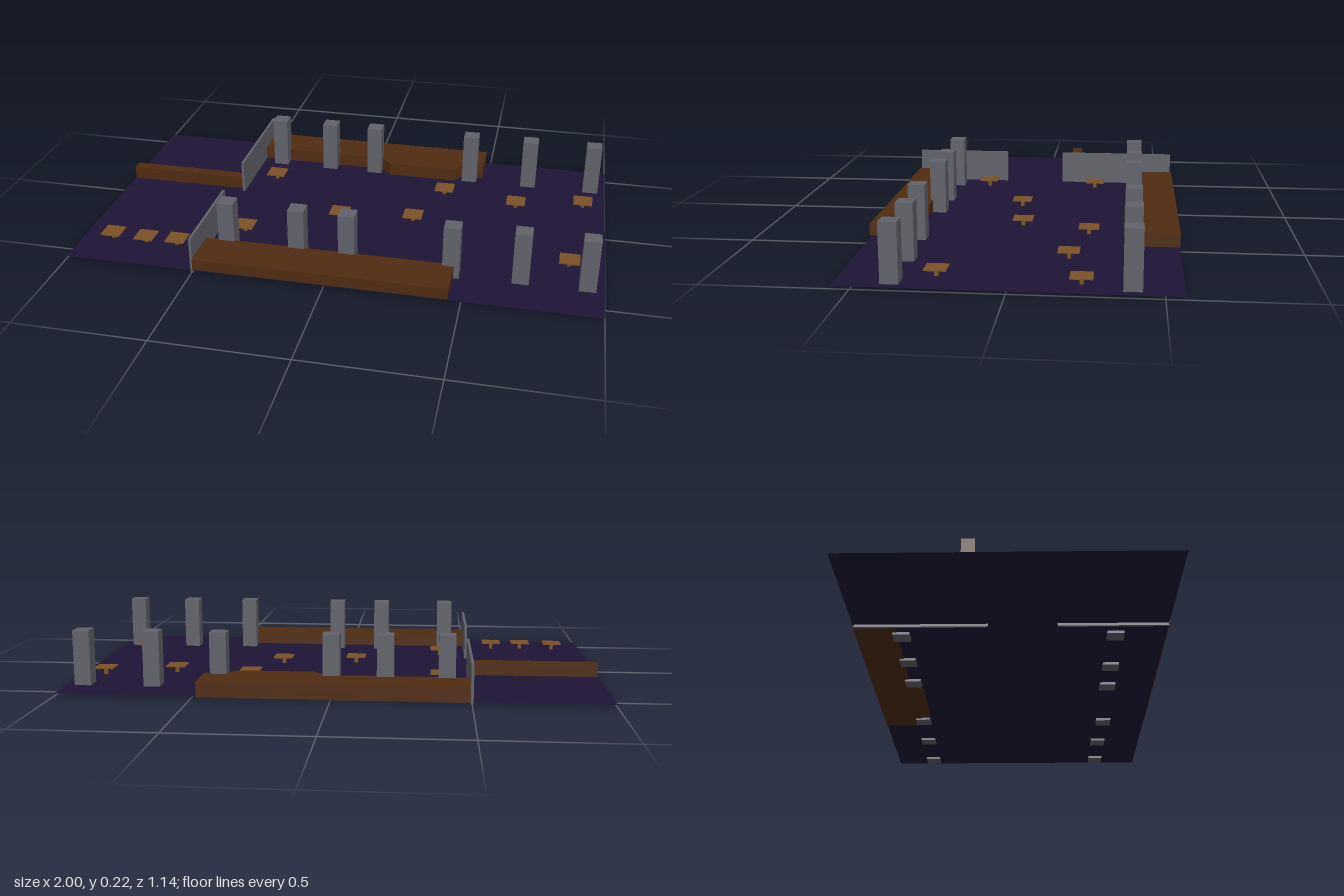
import * as THREE from 'three';

const mat = (color) => new THREE.MeshStandardMaterial({ color });

export function createModel() {
  const model = new THREE.Group();
  const floorMat = mat(0x1e1436);
  floorMat.side = THREE.DoubleSide;
  const wood = mat(0x502c12);
  const lightWood = mat(0x7d5226);
  const stone = mat(0x62626b);

  // box given by its minimum and maximum corners
  const box = (name, material, [x0, y0, z0], [x1, y1, z1], parent = model) => {
    const mesh = new THREE.Mesh(new THREE.BoxGeometry(x1 - x0, y1 - y0, z1 - z0), material);
    mesh.position.set((x0 + x1) / 2, (y0 + y1) / 2, (z0 + z1) / 2);
    mesh.name = name;
    parent.add(mesh);
    return mesh;
  };

  // thin floor sheet
  const floor = new THREE.Mesh(new THREE.PlaneGeometry(2, 1.13), floorMat);
  floor.rotation.x = -Math.PI / 2;
  floor.position.y = 0.01;
  floor.name = 'floor';
  model.add(floor);

  // partition walls with a doorway gap between them
  box('backPartition', stone, [-0.505, 0, -0.56], [-0.495, 0.143, -0.08]);
  box('frontPartition', stone, [-0.505, 0, 0.168], [-0.495, 0.143, 0.564]);

  // counter in the side room and the front platform
  box('counter', wood, [-0.995, 0.012, -0.147], [-0.505, 0.063, -0.102]);
  box('frontPlatform', wood, [-0.495, 0.016, 0.403], [0.455, 0.06, 0.57]);

  // back platform with a bevelled stage bulging forward
  const outline = [
    [-0.495, -0.567], [-0.495, -0.415], [0.03, -0.415], [0.08, -0.365],
    [0.36, -0.365], [0.4, -0.415], [0.48, -0.415], [0.48, -0.567],
  ];
  const shape = new THREE.Shape(outline.map(([x, z]) => new THREE.Vector2(x, -z)));
  const stageGeo = new THREE.ExtrudeGeometry(shape, { depth: 0.056, bevelEnabled: false });
  stageGeo.rotateX(-Math.PI / 2);
  const stage = new THREE.Mesh(stageGeo, wood);
  stage.position.y = 0.007;
  stage.name = 'backPlatform';
  model.add(stage);

  // two rows of square pillars
  const pillars = [
    [-0.414, -0.399], [-0.19, -0.399], [0.008, -0.399],
    [0.425, -0.399], [0.676, -0.399], [0.938, -0.399],
    [-0.412, 0.38], [-0.139, 0.381], [0.053, 0.381],
    [0.444, 0.387], [0.698, 0.377], [0.938, 0.378],
  ];
  for (const [x, z] of pillars) {
    box('pillar', stone, [x - 0.031, 0, z - 0.031], [x + 0.031, 0.217, z + 0.031]);
  }

  // square pedestal tables
  const tables = [
    [-0.393, -0.23], [0.337, -0.235], [0.639, -0.178], [0.909, -0.235],
    [-0.051, 0.054], [0.243, 0.021], [-0.393, 0.237], [0.869, 0.242],
    [-0.88, 0.397], [-0.743, 0.402], [-0.618, 0.397],
  ];
  for (const [x, z] of tables) {
    const table = new THREE.Group();
    table.name = 'table';
    table.position.set(x, 0, z);
    box('tableTop', lightWood, [-0.038, 0.037, -0.038], [0.038, 0.041, 0.038], table);
    box('tableLeg', lightWood, [-0.007, 0.011, -0.007], [0.007, 0.037, 0.007], table);
    model.add(table);
  }

  return model;
}
